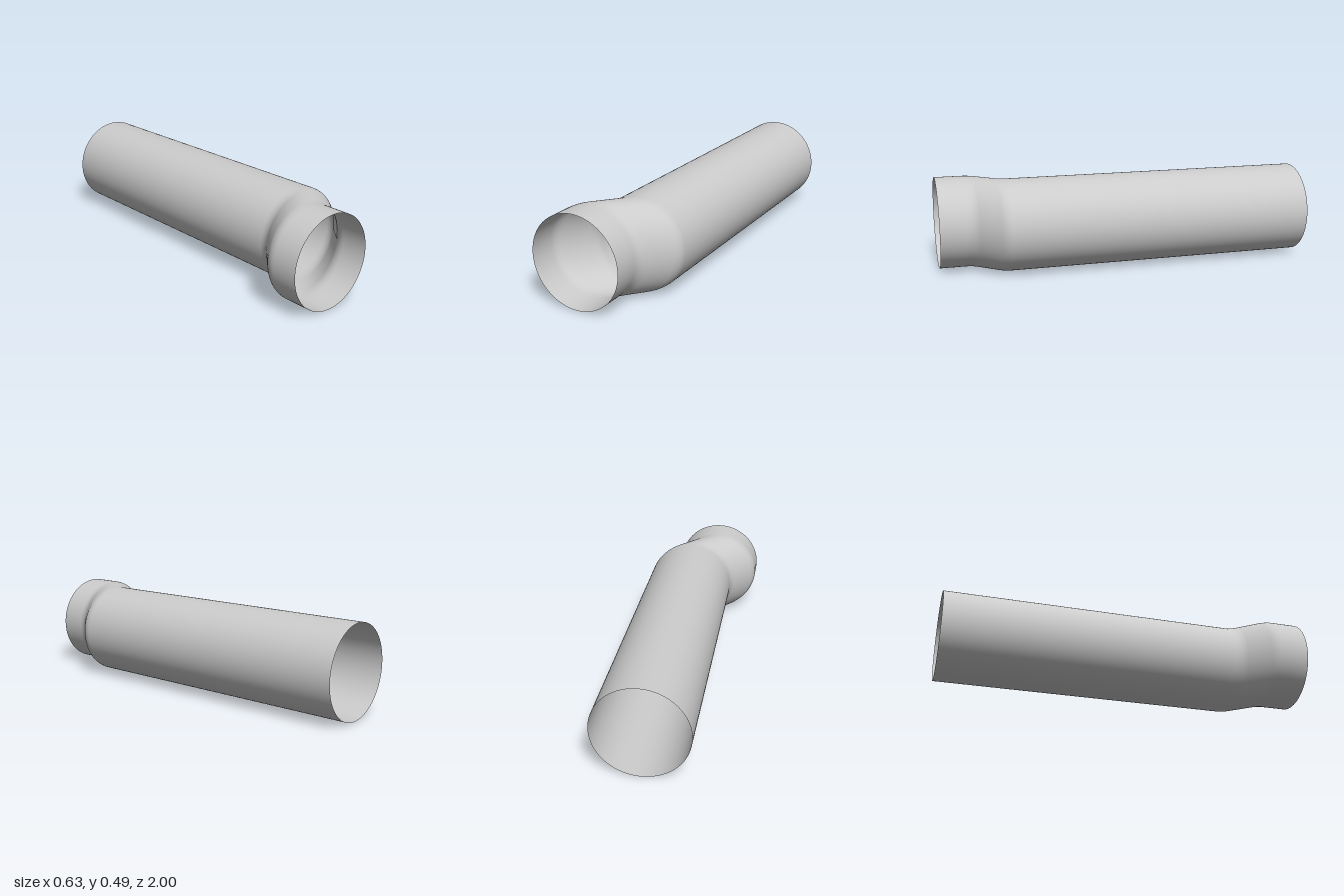
import * as THREE from 'three';
import { mergeVertices } from 'three/addons/utils/BufferGeometryUtils.js';

const RADIUS = 0.245;
const OFFSET = 0.07;

// Centre line seen from above (x, z), front to back: straight, rounded jog, straight
function centreLine() {
  const v = (x, z) => new THREE.Vector2(x, z);
  const bends = [
    new THREE.QuadraticBezierCurve(v(-OFFSET, 0.86), v(-OFFSET, 0.825), v(-0.045, 0.796)),
    new THREE.QuadraticBezierCurve(v(0.045, 0.694), v(OFFSET, 0.665), v(OFFSET, 0.63)),
  ];
  return [v(-OFFSET, 1), ...bends.flatMap((b) => b.getPoints(10)), v(OFFSET, -1)];
}

export function createModel() {
  const path = centreLine();
  const rows = path.length - 1;

  // Open tube whose upright circular rings are slid along the centre line
  let geometry = new THREE.CylinderGeometry(RADIUS, RADIUS, 1, 96, rows, true);
  geometry.rotateX(Math.PI / 2);
  const pos = geometry.attributes.position;
  for (let i = 0; i < pos.count; i++) {
    const ring = path[Math.round((0.5 - pos.getZ(i)) * rows)];
    pos.setXYZ(i, pos.getX(i) + ring.x, pos.getY(i) + RADIUS, ring.y);
  }

  // Weld the seam so the shading stays smooth all round
  geometry.deleteAttribute('normal');
  geometry.deleteAttribute('uv');
  geometry = mergeVertices(geometry, 1e-5);
  geometry.computeVertexNormals();

  const pipe = new THREE.Mesh(
    geometry,
    new THREE.MeshStandardMaterial({ color: 0xcccccc, side: THREE.DoubleSide })
  );
  pipe.name = 'offsetPipe';

  const group = new THREE.Group();
  group.name = 'pipe';
  group.add(pipe);
  return group;
}
